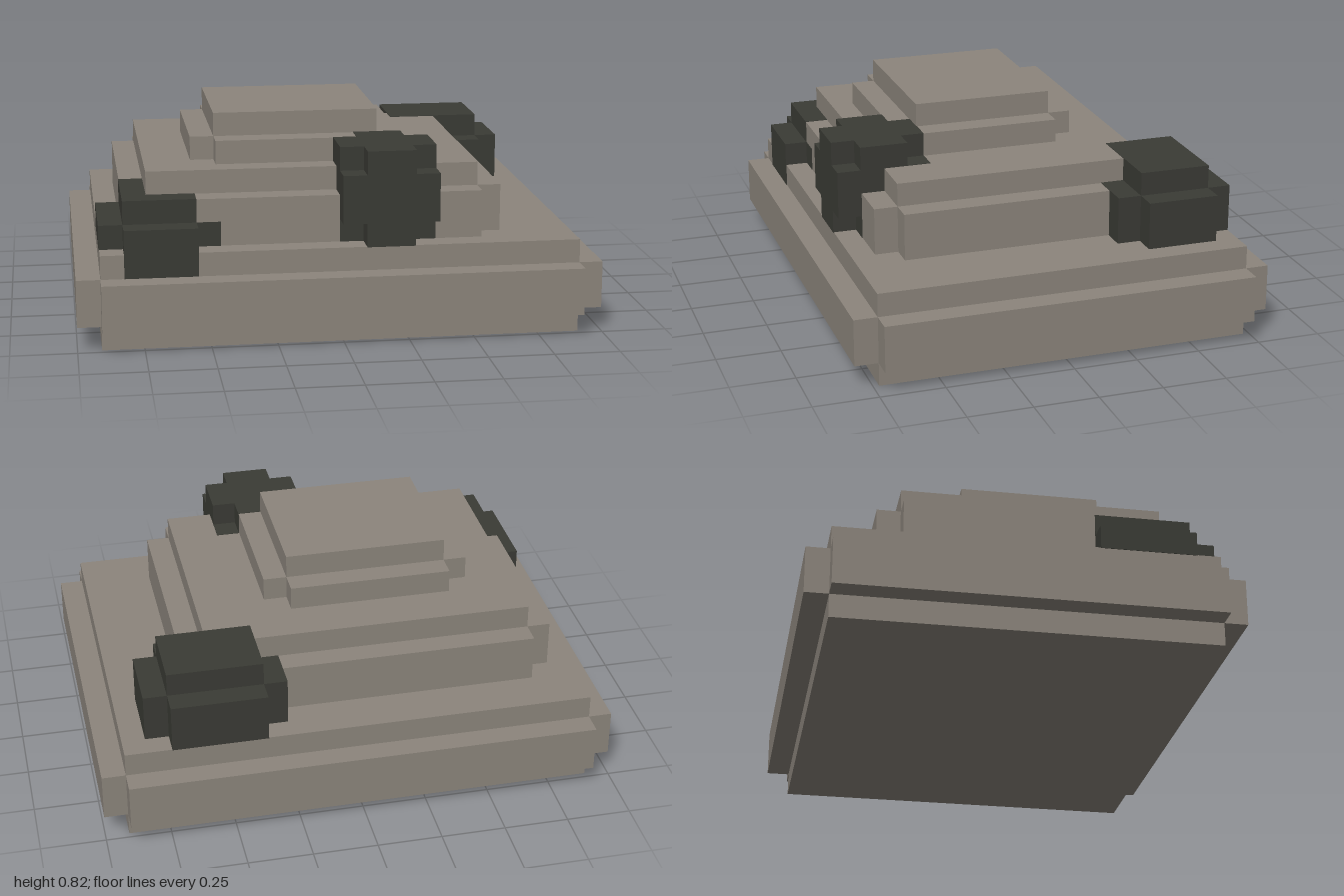
import * as THREE from 'three';

const U = 1 / 11; // one block of the grid
const stone = new THREE.MeshStandardMaterial({ color: 0x8c857c });
stone.name = 'greyStone';
const dark = new THREE.MeshStandardMaterial({ color: 0x3a3b35 });
dark.name = 'darkStone';

// Group of boxes given as [x0, x1, y0, y1, z0, z1] in blocks; grow lifts faces off flush neighbours
function blocks(name, material, list, grow = 0) {
  const group = new THREE.Group();
  group.name = name;
  list.forEach(([x0, x1, y0, y1, z0, z1], i) => {
    const size = [x1 - x0, y1 - y0, z1 - z0].map((s) => s * U + 2 * grow);
    const mesh = new THREE.Mesh(new THREE.BoxGeometry(...size), material);
    mesh.position.set((x0 + x1) / 2, (y0 + y1) / 2, (z0 + z1) / 2).multiplyScalar(U);
    mesh.name = `${name}Block${i + 1}`;
    group.add(mesh);
  });
  return group;
}

export function createModel() {
  const model = new THREE.Group();
  model.name = 'steppedRockMound';

  // Wide slab with a projecting band on each side
  model.add(blocks('base', stone, [
    [-10, 10, 0, 4, -8, 8],
    [-11, 11, 1, 3, -8, 8],
    [-10, 10, 1, 3, -9, 9],
  ]));

  // Middle step with notched corners
  model.add(blocks('middleTier', stone, [
    [-8, 6, 4, 7, -5, 6],
    [-9, 7, 4, 6, -5, 6],
    [-8, 6, 4, 6, -6, 7],
  ]));

  // Summit
  model.add(blocks('topTier', stone, [
    [-5, 2, 7, 9, -2, 4],
    [-6, 3, 7, 8, -2, 4],
    [-5, 2, 7, 8, -3, 5],
  ]));

  // Rounded boulder on the front
  model.add(blocks('frontBoulder', dark, [
    [0, 4, 4, 8, 5, 7],
    [1, 3, 4, 8, 4, 8],
    [0, 4, 5, 7, 5, 8],
    [3, 4, 5, 7, 4, 5],
  ], 0.002));

  // Boulder wrapped round the front corner
  model.add(blocks('cornerBoulder', dark, [
    [-9, -6, 3, 5, 6, 8],
    [-9, -6, 4, 6, 6, 7],
    [-9, -8, 4, 6, 3, 7],
    [-10, -9, 4, 5, 3, 7],
    [-6, -5, 4, 5, 6, 7],
  ], 0.002));

  // Large boulder at the back
  model.add(blocks('backBoulder', dark, [
    [4, 8, 4, 6, -8, -4],
    [3, 4, 4, 6, -7, -5],
    [8, 9, 4, 6, -7, -4],
    [6, 8, 4, 6, -4, -3],
    [4, 8, 6, 7, -7, -4],
  ], 0.002));

  return model;
}
